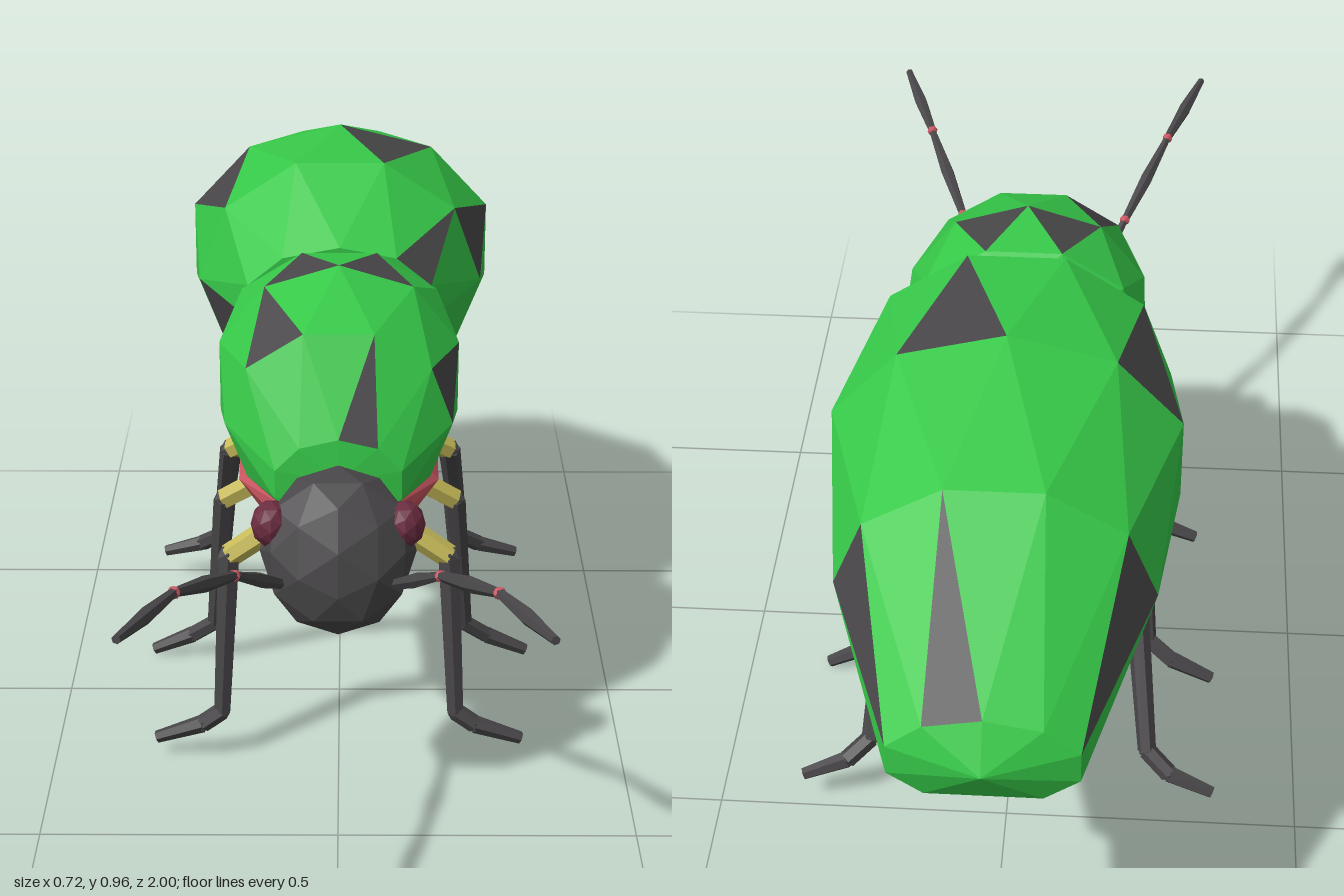
import * as THREE from 'three';

const mat = (color) => new THREE.MeshStandardMaterial({ color, flatShading: true, side: THREE.DoubleSide });
const GREEN = mat(0x36c848), DARK = mat(0x484648), PINK = mat(0xc85560),
  OLIVE = mat(0xa0954a), YELLOW = mat(0xc6ba58), EYE = mat(0x6a2c40);
const V = (x, y, z) => new THREE.Vector3(x, y, z);

function facetMesh(faces, material, name) {
  const g = new THREE.BufferGeometry().setFromPoints(faces.flat());
  g.computeVertexNormals();
  const m = new THREE.Mesh(g, material);
  m.name = name;
  return m;
}

// Faceted hull from front to back through staggered rings.
// Each row is [z, half width, y of the widest line, top y, bottom y].
function hull(rows, nose, tail, n = 10, floor = false) {
  const rings = rows.map(([z, w, yc, top, bot], i) =>
    Array.from({ length: n }, (_, k) => {
      const a = ((k + (i % 2) / 2) / n) * Math.PI * 2, c = Math.cos(a);
      let y = yc + c * (c > 0 ? top - yc : yc - bot);
      if (floor) y = Math.max(bot, yc + c * (top - yc));
      return V(w * Math.sin(a), y, z);
    }));
  const faces = [];
  const last = rings[rings.length - 1];
  for (let k = 0; k < n; k++) {
    const k1 = (k + 1) % n;
    faces.push([nose, rings[0][k1], rings[0][k]]);
    for (let i = 0; i < rings.length - 1; i++) {
      const A = rings[i], B = rings[i + 1];
      if (i % 2 === 0) faces.push([A[k], A[k1], B[k]], [A[k1], B[k1], B[k]]);
      else faces.push([A[k], B[k1], B[k]], [A[k], A[k1], B[k1]]);
    }
    faces.push([last[k], last[k1], tail]);
  }
  return faces;
}

// Splits a shell into green facets and the dark facets closest to the spots
function spottedShell(faces, spots, name) {
  const centre = (f) => V(0, 0, 0).add(f[0]).add(f[1]).add(f[2]).divideScalar(3);
  const dark = new Set(spots.map((s) => {
    const p = V(...s);
    return faces.reduce((b, f) => (centre(f).distanceTo(p) < centre(b).distanceTo(p) ? f : b));
  }));
  const g = new THREE.Group();
  g.name = name;
  g.add(facetMesh(faces.filter((f) => !dark.has(f)), GREEN, name + 'Green'),
    facetMesh([...dark], DARK, name + 'Spots'));
  return g;
}

function ball(p, s, material, name, detail = 1) {
  const m = new THREE.Mesh(new THREE.IcosahedronGeometry(1, detail), material);
  m.position.copy(p);
  m.scale.set(...s);
  m.name = name;
  return m;
}

function rod(a, b, ra, rb, material, name) {
  const d = b.clone().sub(a);
  const m = new THREE.Mesh(new THREE.CylinderGeometry(rb, ra, d.length(), 6), material);
  m.position.copy(a).addScaledVector(d, 0.5);
  m.quaternion.setFromUnitVectors(V(0, 1, 0), d.normalize());
  m.name = name;
  return m;
}

// Yellow thigh, dark shin and two-piece foot
function leg(points, name) {
  const p = points.map((q) => V(...q));
  const r = [0.022, 0.021, 0.016, 0.016, 0.011];
  const g = new THREE.Group();
  g.name = name;
  ['thigh', 'shin', 'foot', 'toe'].forEach((part, i) => {
    g.add(rod(p[i], p[i + 1], r[i], r[i + 1], i ? DARK : YELLOW, part));
    if (i) g.add(ball(p[i], [r[i], r[i], r[i]], DARK, part + 'Joint', 0));
  });
  return g;
}

function antenna(side, name) {
  const p = [[0.085, 0.455, 0.45], [0.16, 0.545, 0.6], [0.238, 0.617, 0.8], [0.304, 0.643, 0.995]]
    .map(([x, y, z]) => V(side * x, y, z));
  const g = new THREE.Group();
  g.name = name;
  for (let i = 0; i < 3; i++) {
    const mid = p[i].clone().lerp(p[i + 1], 0.5);
    g.add(rod(p[i], mid, 0.008, 0.013, DARK, 'antennaSegment'),
      rod(mid, p[i + 1], 0.013, 0.007, DARK, 'antennaSegment'));
    if (i) g.add(ball(p[i], [0.011, 0.011, 0.011], PINK, 'antennaJoint', 0));
  }
  return g;
}

export function createModel() {
  const model = new THREE.Group();
  model.name = 'beetle';

  // Wing case
  model.add(spottedShell(hull([
    [-0.05, 0.17, 0.76, 0.86, 0.68],
    [-0.2, 0.255, 0.75, 0.98, 0.62],
    [-0.43, 0.29, 0.75, 0.975, 0.61],
    [-0.7, 0.245, 0.70, 0.895, 0.605],
    [-0.955, 0.15, 0.585, 0.67, 0.52],
  ], V(0, 0.76, -0.05), V(0, 0.6, -1), 10, true), [
    [0.17, 0.83, -0.12], [0.24, 0.83, -0.33], [0.06, 0.95, -0.35], [0.2, 0.7, -0.75],
    [0.04, 0.8, -0.85], [-0.17, 0.7, -0.8], [-0.19, 0.88, -0.3], [-0.22, 0.72, -0.2],
    [0.25, 0.72, -0.55],
  ], 'wingCase'));

  // Shoulder shield
  model.add(spottedShell(hull([
    [0.335, 0.11, 0.58, 0.66, 0.51],
    [0.25, 0.19, 0.655, 0.82, 0.51],
    [0.1, 0.215, 0.68, 0.88, 0.515],
    [-0.02, 0.21, 0.69, 0.87, 0.53],
    [-0.07, 0.15, 0.7, 0.81, 0.6],
  ], V(0, 0.59, 0.345), V(0, 0.7, -0.08), 10, true), [
    [-0.07, 0.8, 0.21], [0.07, 0.68, 0.3], [0.18, 0.7, 0.18], [0.2, 0.72, -0.02],
    [-0.05, 0.87, 0.02], [0.07, 0.85, 0.09], [-0.2, 0.7, 0.05], [0.15, 0.53, 0.2],
  ], 'shoulderShield'));

  // Pink flanks under the shells
  model.add(facetMesh(hull([
    [-0.1, 0.15, 0.6, 0.68, 0.48],
    [-0.22, 0.215, 0.6, 0.7, 0.43],
    [-0.45, 0.235, 0.6, 0.7, 0.42],
    [-0.75, 0.2, 0.59, 0.65, 0.46],
    [-0.91, 0.11, 0.55, 0.6, 0.52],
  ], V(0, 0.6, -0.04), V(0, 0.55, -0.93)), PINK, 'abdomenFlanks'));
  model.add(facetMesh(hull([
    [0.31, 0.1, 0.52, 0.56, 0.46],
    [0.2, 0.17, 0.53, 0.6, 0.45],
    [0.02, 0.18, 0.54, 0.62, 0.45],
    [-0.12, 0.15, 0.57, 0.64, 0.46],
  ], V(0, 0.53, 0.34), V(0, 0.58, -0.2)), PINK, 'thoraxFlanks'));

  // Olive bellies
  model.add(facetMesh(hull([
    [-0.15, 0.12, 0.5, 0.51, 0.45],
    [-0.25, 0.195, 0.505, 0.52, 0.4],
    [-0.46, 0.215, 0.505, 0.52, 0.38],
    [-0.8, 0.165, 0.525, 0.53, 0.44],
  ], V(0, 0.48, -0.09), V(0, 0.53, -0.92)), OLIVE, 'abdomenBelly'));
  model.add(facetMesh(hull([
    [0.29, 0.1, 0.495, 0.5, 0.43],
    [0.18, 0.155, 0.5, 0.51, 0.42],
    [0.06, 0.15, 0.5, 0.51, 0.43],
  ], V(0, 0.49, 0.34), V(0, 0.48, 0)), OLIVE, 'thoraxBelly'));
  model.add(ball(V(0, 0.505, -0.03), [0.185, 0.07, 0.1], OLIVE, 'waist', 0));

  // Head and eyes
  const head = ball(V(0, 0.5, 0.415), [0.128, 0.138, 0.08], DARK, 'head');
  head.rotation.x = -0.35;
  model.add(head);

  for (const [s, label] of [[1, 'left'], [-1, 'right']]) {
    model.add(ball(V(s * 0.108, 0.545, 0.41), [0.034, 0.04, 0.037], EYE, label + 'Eye'));
    model.add(antenna(s, label + 'Antenna'));
    // Legs: hip, knee, ankle, toe bend, tip
    const legs = {
      FrontLeg: [[0.07, 0.47, 0.2], [0.19, 0.39, 0.212], [0.205, 0.1, 0.238], [0.24, 0.075, 0.24], [0.322, 0.045, 0.235]],
      MiddleLeg: [[0.07, 0.47, -0.025], [0.21, 0.375, -0.06], [0.235, 0.09, -0.12], [0.28, 0.055, -0.135], [0.355, 0.02, -0.142]],
      RearLeg: [[0.07, 0.46, -0.24], [0.21, 0.37, -0.3], [0.24, 0.12, -0.44], [0.28, 0.09, -0.465], [0.355, 0.065, -0.48]],
    };
    for (const [name, pts] of Object.entries(legs))
      model.add(leg(pts.map(([x, y, z]) => [s * x, y, z]), label + name));
  }
  return model;
}
